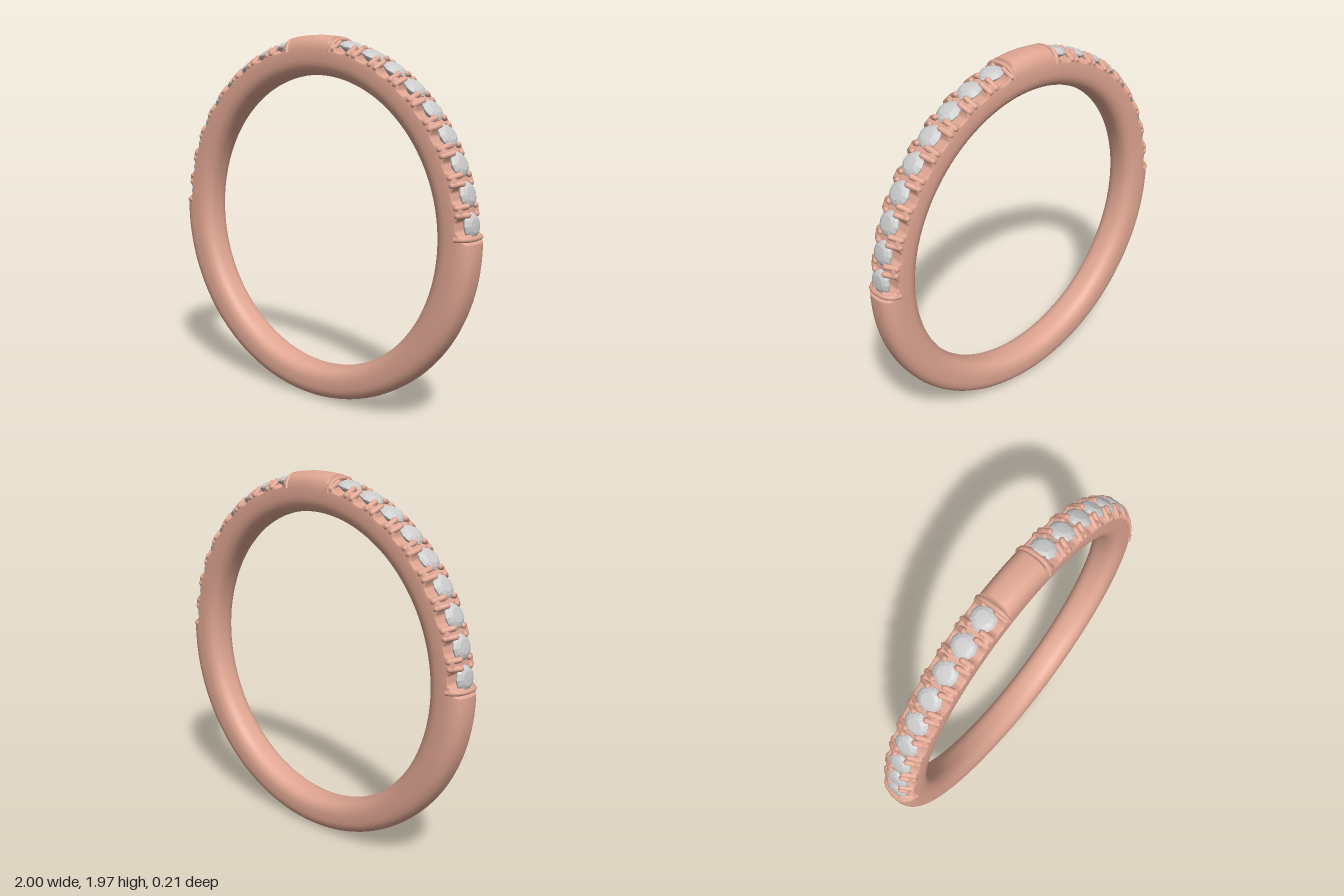
import * as THREE from 'three';

const CENTER_Y = 0.968, INNER = 0.79, HALF_WIDTH = 0.093;
const STONES = 9, FIRST = 6, STEP = 8.86;            // degrees above horizontal
const ZONE_START = 1.4, ZONE_END = 81.7;
const rad = THREE.MathUtils.degToRad;

const metal = new THREE.MeshStandardMaterial({ color: 0xe0a692 });
const gem = new THREE.MeshStandardMaterial({ color: 0xcccccc, flatShading: true });

// Outer radius, thinning toward the bottom of the band
function outerRadius(a) {
  const s = Math.min(0, Math.sin(a));
  return 0.998 - 0.031 * s * s;
}

// Radius to which the band is cut down around the stones
function cutRadius(a) {
  let deg = THREE.MathUtils.radToDeg(a);
  if (deg > 90) deg = 180 - deg;
  if (deg < ZONE_START || deg > ZONE_END) return 2;
  const k = THREE.MathUtils.clamp(Math.round((deg - FIRST) / STEP), 0, STONES - 1);
  const t = Math.min(1, Math.abs(deg - FIRST - k * STEP) / (STEP / 2));
  return 0.925 + 0.035 * THREE.MathUtils.smoothstep(t, 0.25, 0.8);
}

// Rounded cross-section: [radius, z] at section angle p
function section(outer, p) {
  const pw = (v) => Math.sign(v) * Math.abs(v) ** 0.76;
  const h = (outer - INNER) / 2;
  return [INNER + h + h * pw(Math.sin(p)), HALF_WIDTH * pw(Math.cos(p))];
}

// Band swept around the circle with scalloped shoulders
function bandGeometry() {
  const N = 900, M = 36, pos = [], idx = [];
  for (let i = 0; i < N; i++) {
    const a = (i / N) * Math.PI * 2, cut = cutRadius(a);
    for (let j = 0; j < M; j++) {
      const [r0, z] = section(outerRadius(a), (j / M) * Math.PI * 2);
      const r = Math.min(r0, cut);
      pos.push(r * Math.cos(a), r * Math.sin(a), z);
      const i2 = (i + 1) % N, j2 = (j + 1) % M;
      const A = i * M + j, B = i * M + j2, C = i2 * M + j, D = i2 * M + j2;
      idx.push(A, B, C, B, D, C);
    }
  }
  const g = new THREE.BufferGeometry();
  g.setAttribute('position', new THREE.Float32BufferAttribute(pos, 3));
  g.setIndex(idx);
  g.computeVertexNormals();
  return g;
}

// Faceted stone: pavilion, girdle, crown and table, girdle at y = 0
function stoneGeometry() {
  const profile = [[0, -0.05], [0.063, -0.006], [0.065, 0.002], [0.054, 0.013], [0.036, 0.022], [0, 0.024]];
  return new THREE.LatheGeometry(profile.map(([x, y]) => new THREE.Vector2(x, y)), 12);
}

// Raised bar running over the outside of the band
function barGeometry() {
  const pts = [];
  for (let i = 0; i <= 20; i++) {
    const [r, z] = section(0.984, rad(12 + (156 * i) / 20));
    pts.push(new THREE.Vector3(0, r, z));
  }
  return new THREE.TubeGeometry(new THREE.CatmullRomCurve3(pts), 32, 0.013, 8);
}

export function createModel() {
  const model = new THREE.Group();
  model.name = 'ring';
  const ring = new THREE.Group();
  ring.name = 'ringBody';
  ring.position.y = CENTER_Y;
  model.add(ring);

  const add = (parent, name, geometry, material) => {
    const m = new THREE.Mesh(geometry, material);
    m.name = name;
    parent.add(m);
    return m;
  };
  // Group whose local y points outward at the given angle
  const radial = (name, deg) => {
    const g = new THREE.Group();
    g.name = name;
    g.rotation.z = rad(deg - 90);
    ring.add(g);
    return g;
  };

  add(ring, 'band', bandGeometry(), metal);
  const stone = stoneGeometry(), bar = barGeometry();
  const prong = new THREE.CapsuleGeometry(0.0155, 0.055, 4, 10);

  for (const side of [1, -1]) {
    const angle = (deg) => (side > 0 ? deg : 180 - deg);

    for (let k = 0; k < STONES; k++) {
      // Stone with four prongs, two on each shoulder
      const setting = radial('stoneSetting', angle(FIRST + k * STEP));
      add(setting, 'stone', stone, gem).position.y = 0.961;
      for (const sx of [1, -1]) {
        for (const sz of [1, -1]) {
          const p = add(setting, 'prong', prong, metal);
          p.position.set(sx * 0.054, 0.952, sz * 0.059);
          p.rotation.x = sz * rad(124);
        }
      }
    }
    // Bars closing each end of the row of stones
    for (const deg of [2.4, 80.8]) add(radial('endBar', angle(deg)), 'bar', bar, metal);
  }
  return model;
}
